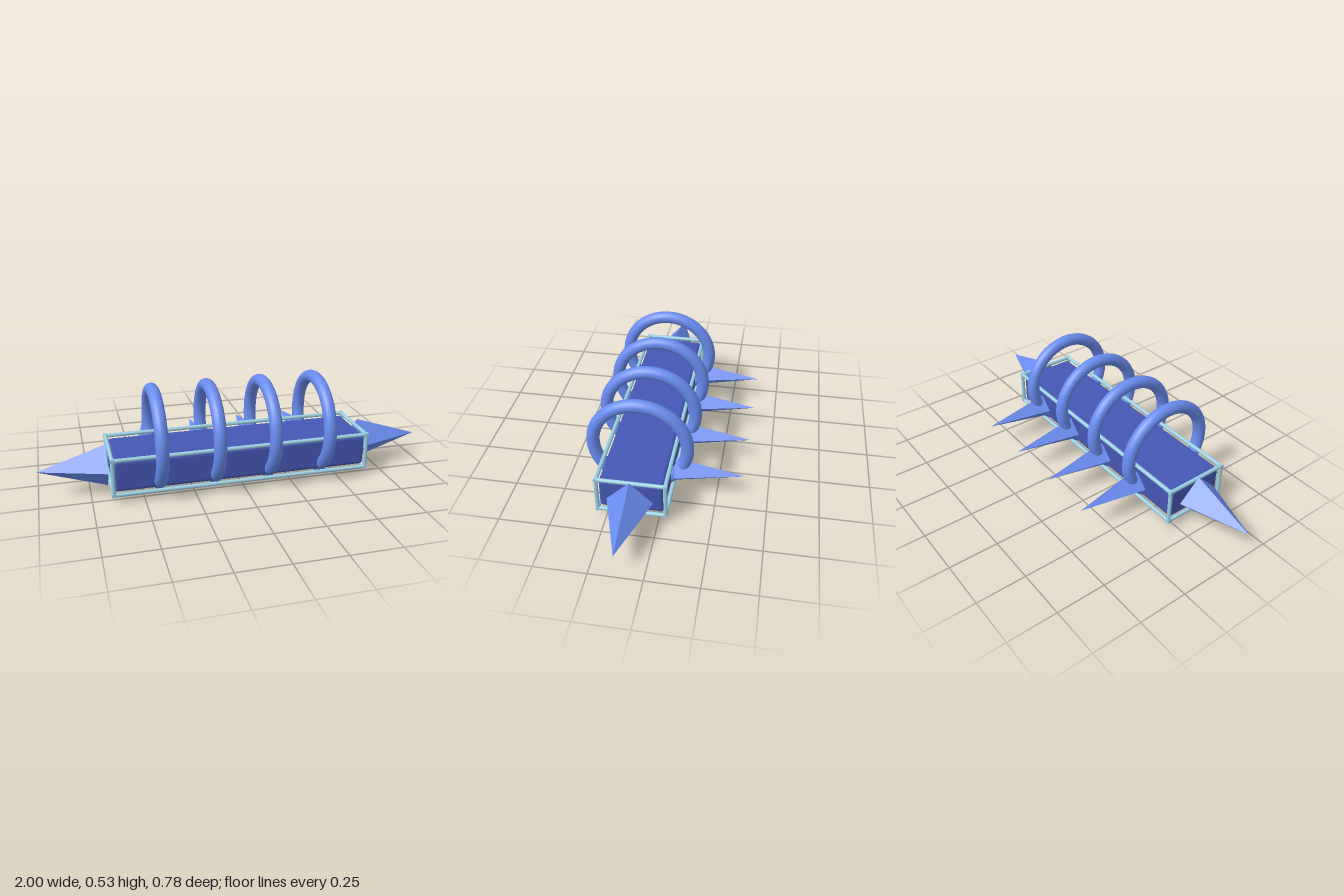
import * as THREE from 'three';
import { RoundedBoxGeometry } from 'three/addons/geometries/RoundedBoxGeometry.js';

const CX = -0.003, CY = 0.135, CZ = 0.128; // centre of the grip bar

export function createModel() {
  const model = new THREE.Group();
  const barMat = new THREE.MeshStandardMaterial({ color: 0x4656b4 });
  const blueMat = new THREE.MeshStandardMaterial({ color: 0x6a8cf0 });
  const spikeMat = new THREE.MeshStandardMaterial({ color: 0x6a8cf0, flatShading: true });
  const trimMat = new THREE.MeshStandardMaterial({ color: 0x9cd0e4 });

  const add = (name, geometry, material, x, y, z) => {
    const mesh = new THREE.Mesh(geometry, material);
    mesh.name = name;
    mesh.position.set(x, y, z);
    model.add(mesh);
    return mesh;
  };

  // Solid grip bar with softened edges
  add('gripBar', new RoundedBoxGeometry(1.284, 0.162, 0.309, 4, 0.02), barMat, CX, CY, CZ);

  // Wire cage: four bars along each axis around the grip
  const half = [0.646, 0.089, 0.163];
  const wire = 0.01;
  for (let axis = 0; axis < 3; axis++) {
    const b = (axis + 1) % 3, c = (axis + 2) % 3;
    for (const sb of [-1, 1]) for (const sc of [-1, 1]) {
      const p = [CX, CY, CZ];
      p[b] += sb * half[b];
      p[c] += sc * half[c];
      const bar = add('frameBar', new THREE.CylinderGeometry(wire, wire, 2 * (half[axis] + wire), 12), trimMat, ...p);
      if (axis === 0) bar.rotation.z = Math.PI / 2;
      if (axis === 2) bar.rotation.x = Math.PI / 2;
    }
  }

  // Finger rings, each with a four-sided spike behind it
  for (let i = 0; i < 4; i++) {
    const x = CX + (i - 1.5) * 0.278;
    add('fingerRing', new THREE.TorusGeometry(0.231, 0.032, 20, 64), blueMat, x, 0.265, CZ).rotation.y = Math.PI / 2;
    add('knuckleSpike', new THREE.ConeGeometry(0.07, 0.34, 4), spikeMat, x, CY, -0.217).rotation.x = -Math.PI / 2;
  }

  // Large spikes on both ends
  for (const s of [-1, 1]) {
    add('endSpike', new THREE.ConeGeometry(0.11, 0.336, 4), spikeMat, s * 0.832, CY, CZ).rotation.z = -s * Math.PI / 2;
  }

  // Jagged inlay lines on the underside of the grip
  const inlays = [
    [[0.58, 0.17], [0.37, 0.06], [0.29, 0.09], [0.18, 0.03], [-0.23, 0.05], [-0.36, 0.13], [-0.57, 0.04]],
    [[0.39, 0.26], [0.27, 0.18], [0.06, 0.21], [-0.16, 0.1]],
  ];
  for (const line of inlays) {
    const path = new THREE.CurvePath();
    for (let i = 1; i < line.length; i++) {
      const [a, b] = [line[i - 1], line[i]].map(([x, z]) => new THREE.Vector3(x, 0, z));
      path.add(new THREE.LineCurve3(a, b));
    }
    add('undersideInlay', new THREE.TubeGeometry(path, 80, 0.006, 6), trimMat, 0, 0.054, 0);
  }

  return model;
}
